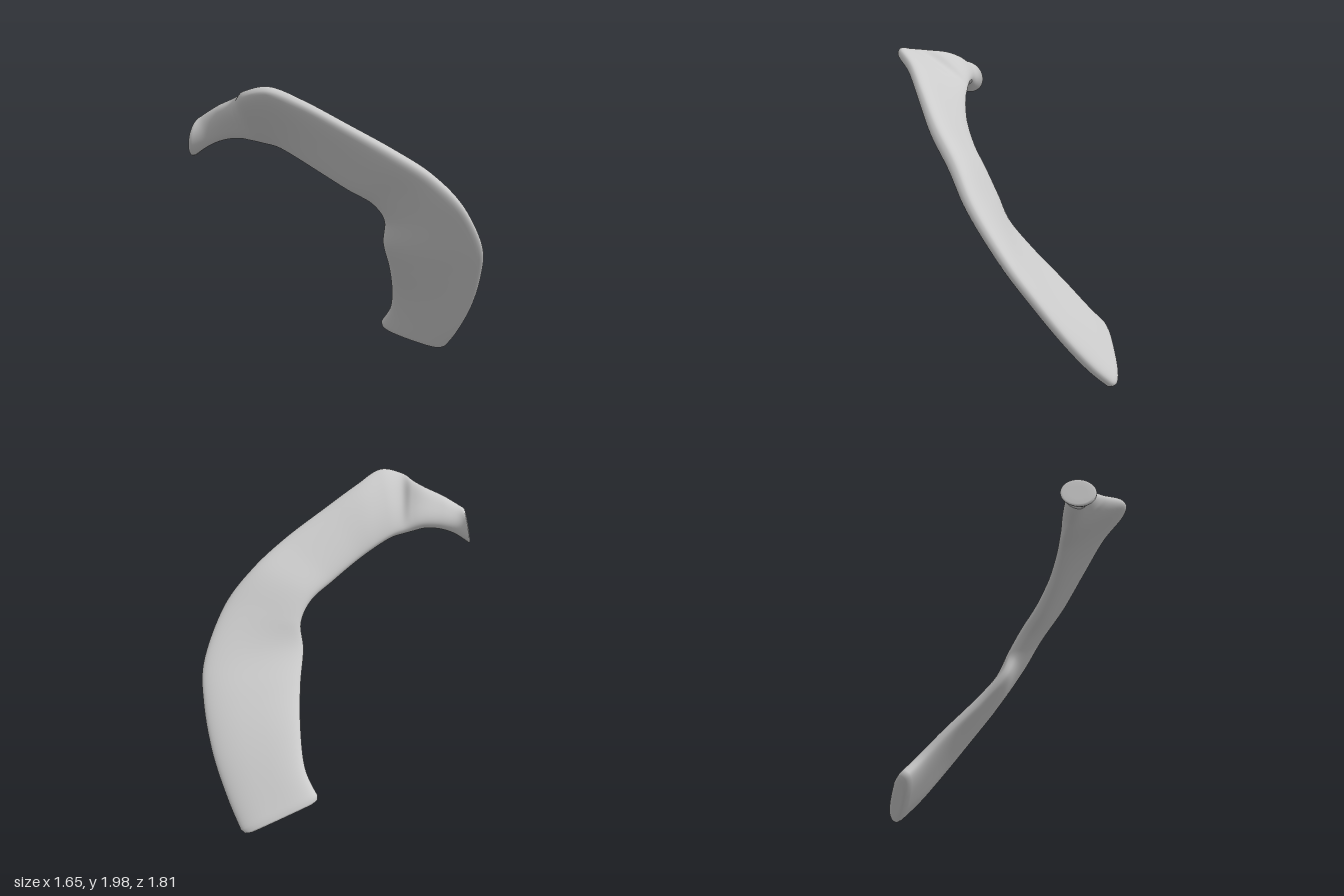
import * as THREE from 'three';

// Stations along the rib: inner edge xyz, outer edge xyz, thickness
const STATIONS = [
  [-0.06, 0.195, -0.665, 0.40, 0.00, -0.89, 0.125],
  [0.06, 0.36, -0.575, 0.54, 0.19, -0.77, 0.125],
  [0.13, 0.56, -0.42, 0.68, 0.44, -0.63, 0.12],
  [0.18, 0.77, -0.22, 0.78, 0.71, -0.47, 0.12],
  [0.20, 0.96, -0.05, 0.82, 0.94, -0.31, 0.12],
  [0.23, 1.13, 0.01, 0.75, 1.23, -0.06, 0.125],
  [0.18, 1.26, 0.11, 0.60, 1.44, 0.13, 0.135],
  [0.06, 1.36, 0.235, 0.42, 1.60, 0.34, 0.135],
  [-0.08, 1.475, 0.345, 0.20, 1.755, 0.54, 0.125],
  [-0.20, 1.565, 0.41, 0.00, 1.89, 0.72, 0.12],
  [-0.30, 1.63, 0.45, -0.14, 1.965, 0.875, 0.12],
  [-0.38, 1.66, 0.475, -0.30, 1.94, 0.895, 0.125],
  [-0.45, 1.68, 0.50, -0.41, 1.92, 0.78, 0.14],
  [-0.52, 1.69, 0.525, -0.49, 1.90, 0.72, 0.14],
  [-0.62, 1.68, 0.555, -0.60, 1.865, 0.70, 0.14],
  [-0.72, 1.64, 0.59, -0.70, 1.82, 0.69, 0.16],
  [-0.83, 1.555, 0.63, -0.77, 1.80, 0.66, 0.24],
];

const curve = (pick) =>
  new THREE.CatmullRomCurve3(STATIONS.map(pick), false, 'catmullrom', 0.5);
const inner = curve((s) => new THREE.Vector3(s[0], s[1], s[2]));
const outer = curve((s) => new THREE.Vector3(s[3], s[4], s[5]));
const thick = curve((s) => new THREE.Vector3(s[6], 0, 0));

const centre = (t) => inner.getPoint(t).lerp(outer.getPoint(t), 0.5);
const soft = (v, e) => Math.sign(v) * Math.pow(Math.abs(v), e);

// Loft of rounded flat sections, with closed rounded ends
function ribGeometry(steps, sides) {
  const ends = [[0, 0], [0, 0.45], [0, 0.8], [0.003, 0.94], [0.011, 1]];
  const rings = [...ends];
  for (let i = 1; i < steps; i++) rings.push([0.011 + (0.978 * i) / steps, 1]);
  for (const [t, k] of [...ends].reverse()) rings.push([1 - t, k]);

  const pos = [], index = [];
  rings.forEach(([t, k], i) => {
    const c = centre(t);
    const half = outer.getPoint(t).sub(inner.getPoint(t)).multiplyScalar(0.5);
    const along = centre(Math.min(1, t + 0.045)).sub(centre(Math.max(0, t - 0.045)));
    const up = along.cross(half).normalize().multiplyScalar(thick.getPoint(t).x / 2);
    // Flat shaft sections become round towards the head
    const e = 0.73 + 0.27 * THREE.MathUtils.smoothstep(t, 0.75, 1);
    for (let j = 0; j < sides; j++) {
      const a = (j / sides) * Math.PI * 2;
      const p = c.clone()
        .addScaledVector(half, k * soft(Math.cos(a), e))
        .addScaledVector(up, k * soft(Math.sin(a), e));
      pos.push(p.x, p.y, p.z);
      if (i < rings.length - 1) {
        const n = (j + 1) % sides, r = i * sides, q = r + sides;
        index.push(r + j, r + n, q + n, r + j, q + n, q + j);
      }
    }
  });
  const g = new THREE.BufferGeometry();
  g.setAttribute('position', new THREE.Float32BufferAttribute(pos, 3));
  g.setIndex(index);
  g.computeVertexNormals();
  return g;
}

export function createModel() {
  const group = new THREE.Group();
  group.name = 'ribBone';

  // Shaft, tubercle, neck and head in one sweep
  const bone = new THREE.MeshStandardMaterial({ color: 0xcccccc });
  const rib = new THREE.Mesh(ribGeometry(160, 48), bone);
  rib.name = 'rib';
  group.add(rib);

  return group;
}
